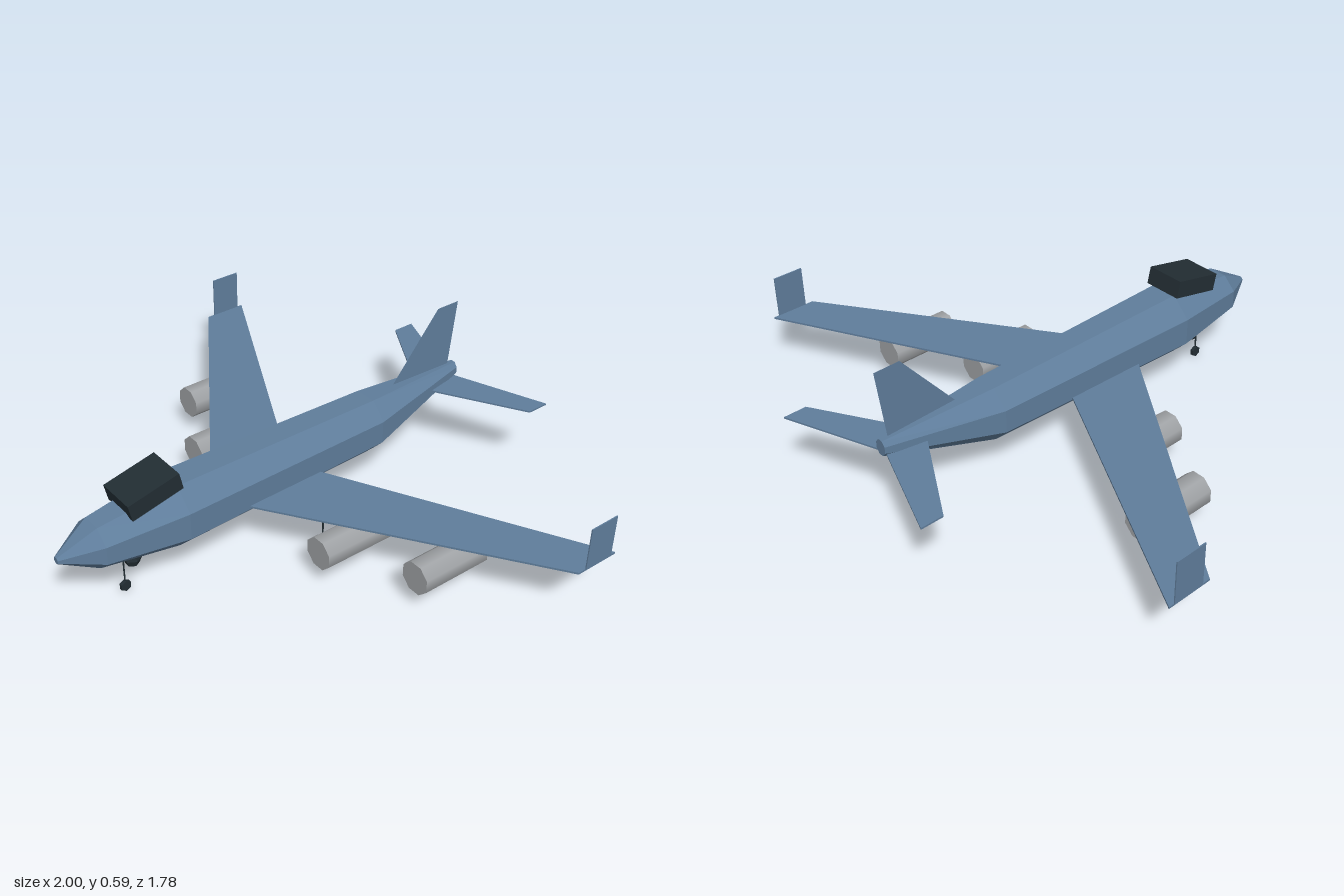
import * as THREE from 'three';

const mat = (name, color, opts = {}) => {
  const m = new THREE.MeshStandardMaterial({ color, ...opts });
  m.name = name;
  return m;
};

export function createModel() {
  const blue = mat('slate blue', 0x5f7d9b, { flatShading: true });
  const blueThin = mat('slate blue', 0x5f7d9b, { side: THREE.DoubleSide });
  blueThin.color = blue.color;
  const grey = mat('engine grey', 0xa0a3a6);
  const dark = mat('dark glass', 0x222d33, { flatShading: true });

  const group = new THREE.Group();
  const add = (name, geo, material, x = 0, y = 0, z = 0) => {
    const mesh = new THREE.Mesh(geo, material);
    mesh.name = name;
    mesh.position.set(x, y, z);
    group.add(mesh);
    return mesh;
  };

  // Fuselage: octagonal rings [z, half width, bottom, top]
  const rings = [
    [0.89, 0.012, 0.235, 0.257],
    [0.757, 0.084, 0.17, 0.33],
    [0.47, 0.12, 0.13, 0.37],
    [-0.352, 0.098, 0.155, 0.36],
    [-0.77, 0.022, 0.29, 0.347],
  ];
  const N = 8, pos = [], idx = [], k = 1 / Math.cos(Math.PI / N);
  for (const [z, hw, lo, hi] of rings) {
    for (let i = 0; i < N; i++) {
      const a = ((i + 0.5) / N) * Math.PI * 2;
      pos.push(hw * k * Math.cos(a), (lo + hi) / 2 + ((hi - lo) / 2) * k * Math.sin(a), z);
    }
  }
  const last = (rings.length - 1) * N;
  for (let r = 0; r < last; r += N) {
    for (let i = 0; i < N; i++) {
      const j = (i + 1) % N;
      idx.push(r + i, r + N + i, r + j, r + j, r + N + i, r + N + j);
    }
  }
  for (let i = 1; i < N - 1; i++) idx.push(0, i, i + 1, last, last + i + 1, last + i);
  const body = new THREE.BufferGeometry();
  body.setAttribute('position', new THREE.Float32BufferAttribute(pos, 3));
  body.setIndex(idx);
  body.computeVertexNormals();
  add('fuselage', body, blue);

  // Raised cockpit block, tilted down toward the nose
  add('cockpit', new THREE.BoxGeometry(0.145, 0.064, 0.196), dark, 0, 0.381, 0.562).rotation.x = 0.222;

  // Horizontal plate from an outline of [x, z] points
  const plate = (points, side, thick) => {
    const shape = new THREE.Shape(points.map(([x, z]) => new THREE.Vector2(x * side, -z)));
    return new THREE.ExtrudeGeometry(shape, { depth: thick, bevelEnabled: false })
      .translate(0, 0, -thick / 2).rotateX(-Math.PI / 2);
  };

  // Upright tail fin
  const fin = new THREE.Shape([[0.47, 0.345], [0.74, 0.335], [0.77, 0.595], [0.675, 0.595]]
    .map(([x, y]) => new THREE.Vector2(x, y)));
  add('tailFin', new THREE.ShapeGeometry(fin).rotateY(Math.PI / 2), blueThin);

  // Landing gear wheel with its strut
  const gear = (name, x, z, radius, top) => {
    add(name + 'Wheel', new THREE.CylinderGeometry(radius, radius, 0.013, 6)
      .rotateZ(Math.PI / 2).rotateX(Math.PI / 6), dark, x, radius + 0.003, z);
    const h = top - radius;
    add(name + 'Strut', new THREE.CylinderGeometry(0.003, 0.003, h, 6), dark, x, radius + h / 2, z);
  };

  for (const s of [1, -1]) {
    const side = s > 0 ? 'left' : 'right';
    add(side + 'Wing', plate([[0.04, 0.285], [0.998, -0.37], [0.998, -0.535], [0.04, -0.035]], s, 0.007),
      blue, 0, 0.215, 0);
    add(side + 'Winglet', new THREE.BoxGeometry(0.004, 0.158, 0.114), blue, s * 0.998, 0.294, -0.457);
    add(side + 'Tailplane', plate([[0, -0.6], [0.357, -0.808], [0.357, -0.89], [0, -0.755]], s, 0.006),
      blue, 0, 0.295, 0);

    // Engines hung below the wing
    [[0.358, 0.009], [0.638, -0.157]].forEach(([x, z], i) => {
      const r = 0.055 * k;
      add(side + (i ? 'Outer' : 'Inner') + 'Engine',
        new THREE.CylinderGeometry(r, r, 0.266, 8).rotateX(Math.PI / 2).rotateZ(Math.PI / 8),
        grey, s * x, 0.131, z);
    });
    gear(side + 'Main', s * 0.24, 0.027, 0.026, 0.128);
  }

  // Nose gear and chin pod
  gear('nose', 0, 0.658, 0.02, 0.15);
  add('chinPod', new THREE.SphereGeometry(0.033, 6, 4), dark, 0, 0.126, 0.625);
  return group;
}
